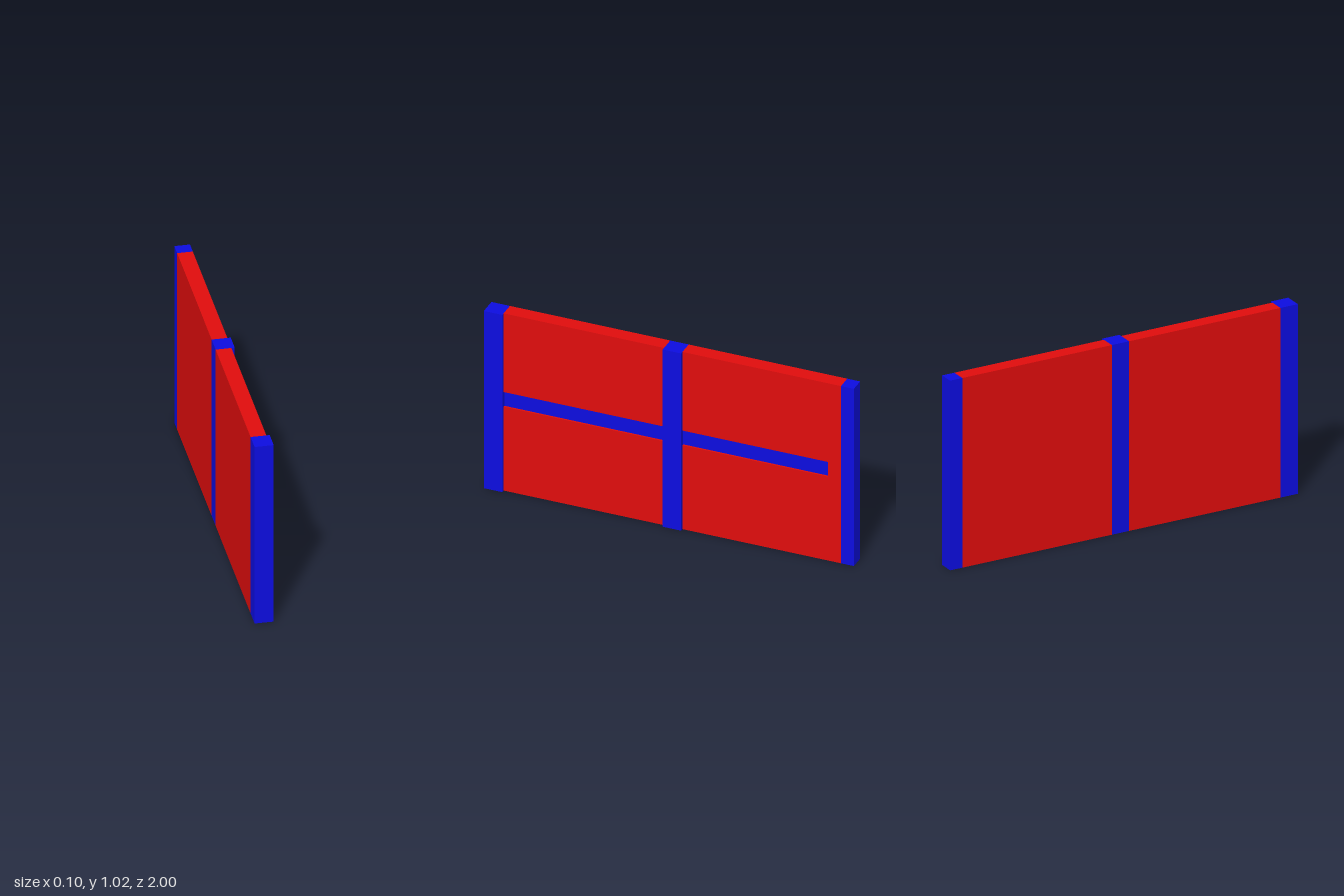
import * as THREE from 'three';

const H = 1.025, BACK = -0.05, FACE = 0.03;
const RAIL_LOW = 0.485, RAIL_HIGH = 0.57, RAIL_FACE = 0.02, GROOVE = -0.01;

export function createModel() {
  const group = new THREE.Group();
  const red = new THREE.MeshStandardMaterial({ color: 0xe00d0d, flatShading: true });
  const blue = new THREE.MeshStandardMaterial({ color: 0x0d0de0, flatShading: true });

  const box = (name, x0, x1, y0, y1, z0, z1) => {
    const mesh = new THREE.Mesh(new THREE.BoxGeometry(x1 - x0, y1 - y0, z1 - z0), blue);
    mesh.position.set((x0 + x1) / 2, (y0 + y1) / 2, (z0 + z1) / 2);
    mesh.name = name;
    group.add(mesh);
  };

  // Plank cross-section, optionally notched to hold the rail
  const plank = (z0, z1, notched) => {
    const points = [[BACK, 0], [FACE, 0]];
    if (notched) {
      points.push([FACE, RAIL_LOW], [GROOVE, RAIL_LOW], [GROOVE, RAIL_HIGH], [FACE, RAIL_HIGH]);
    }
    points.push([FACE, H], [BACK, H]);
    const shape = new THREE.Shape(points.map(([x, y]) => new THREE.Vector2(x, y)));
    const geometry = new THREE.ExtrudeGeometry(shape, { depth: z1 - z0, bevelEnabled: false });
    const mesh = new THREE.Mesh(geometry, red);
    mesh.position.z = z0;
    mesh.name = 'plank';
    group.add(mesh);
  };

  // Red planks on both sides of the middle post
  for (const edges of [[-0.86, -0.77, -0.38, -0.07], [0.03, 0.35, 0.77, 0.9]]) {
    for (let i = 0; i < edges.length - 1; i++) plank(edges[i], edges[i + 1], true);
  }
  plank(-0.93, -0.86, false);

  // Upright posts, flush with the planks on one side
  box('frontPost', BACK, 0.047, 0, H, 0.9, 1);
  box('middlePost', BACK, 0.047, 0, H, -0.07, 0.03);
  box('backPost', BACK, FACE, 0, H, -1, -0.93);

  // Horizontal rail set into the groove
  box('frontRail', GROOVE, RAIL_FACE, RAIL_LOW, RAIL_HIGH, 0.03, 0.9);
  box('backRail', GROOVE, RAIL_FACE, RAIL_LOW, RAIL_HIGH, -0.86, -0.07);

  return group;
}
